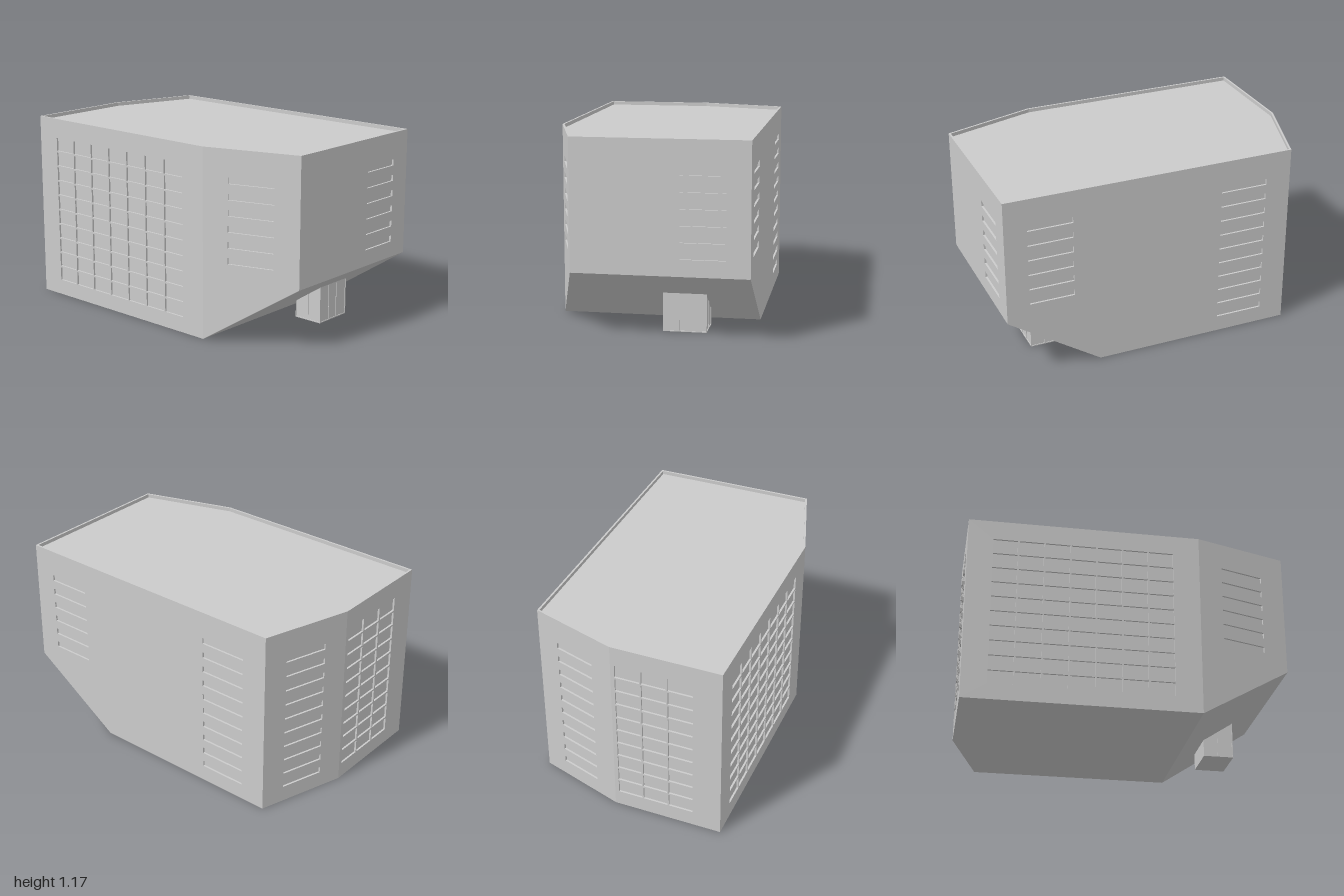
import * as THREE from 'three';

const HEIGHT = 1.17, ROOF = 1.147, THICK = 0.012;
const CUT_X = 0.42, CUT_Y = 0.385; // the underside rises from CUT_X to CUT_Y at x = 1
const material = new THREE.MeshStandardMaterial({ color: 0xcccccc, flatShading: true });
const baseY = (x) => Math.max(0, (x - CUT_X) / (1 - CUT_X) * CUT_Y);

// Footprint [x, z], anticlockwise seen from above
const A = [-1, 0.61], B = [CUT_X, 0.61], C = [1, 0.43], D = [1, -0.61], E = [-0.83, -0.61], F = [-1, -0.07];
const K = [CUT_X, -0.61]; // where the sloped underside starts on the back wall

function addMesh(parent, name, geometry) {
  const mesh = new THREE.Mesh(geometry, material);
  mesh.name = name;
  parent.add(mesh);
  return mesh;
}

// Flat convex polygon from 3D corners
function polygon(points) {
  const geometry = new THREE.BufferGeometry().setFromPoints(points.map((p) => new THREE.Vector3(...p)));
  const index = [];
  for (let i = 1; i < points.length - 1; i++) index.push(0, i, i + 1);
  geometry.setIndex(index);
  geometry.computeVertexNormals();
  return geometry;
}

// Upright wall from a to b: a panel with openings in front of a plain backing
function addWall(parent, name, a, b, outline, openings, depth) {
  const wall = new THREE.Group();
  wall.name = name;
  wall.position.set(a[0], 0, a[1]);
  wall.rotation.y = Math.atan2(a[1] - b[1], b[0] - a[0]);
  const corners = outline.map((p) => new THREE.Vector2(...p));
  const shape = new THREE.Shape(corners);
  for (const [u, v, w, h] of openings) {
    shape.holes.push(new THREE.Path([
      new THREE.Vector2(u, v), new THREE.Vector2(u, v + h),
      new THREE.Vector2(u + w, v + h), new THREE.Vector2(u + w, v),
    ]));
  }
  addMesh(wall, 'panel', new THREE.ExtrudeGeometry(shape, { depth, bevelEnabled: false })).position.z = -depth;
  if (openings.length) {
    addMesh(wall, 'recessBacking', new THREE.ShapeGeometry(new THREE.Shape(corners))).position.z = -depth;
  }
  parent.add(wall);
}

// Window layouts as [u, v, width, height]; rows are counted from the top
const PITCH = 0.096;
function slots(start, width, rows) {
  return Array.from({ length: rows }, (_, i) => [start, 0.965 - i * PITCH, width, 0.038]);
}
function windowGrid(start, columns, pitch) {
  const list = [];
  for (let c = 0; c < columns; c++) {
    for (let r = 0; r < 10; r++) list.push([start + c * pitch, 0.962 - r * PITCH, pitch - 0.01, PITCH - 0.011]);
  }
  return list;
}

export function createModel() {
  const model = new THREE.Group();
  model.name = 'building';

  // Outer walls; their tops form the parapet
  const walls = [
    ['frontWall', A, B, windowGrid(0.153, 7, 0.159)],
    ['angledFrontWall', B, C, slots(0.16, 0.288, 6)],
    ['leftWall', C, D, slots(0.635, 0.265, 6)],
    ['backWall', D, E, [...slots(0.14, 0.28, 6), ...slots(1.37, 0.30, 10)]],
    ['angledBackWall', E, F, slots(0.147, 0.272, 10)],
    ['rightWall', F, A, windowGrid(0.025, 3, 0.163)],
  ];
  for (const [name, a, b, openings] of walls) {
    const length = Math.hypot(b[0] - a[0], b[1] - a[1]);
    const outline = [[0, baseY(a[0])]];
    if (name === 'backWall') outline.push([1 - CUT_X, 0]);
    outline.push([length, baseY(b[0])], [length, HEIGHT], [0, HEIGHT]);
    addWall(model, name, a, b, outline, openings, THICK);
  }

  // Sunken roof, floor and sloped underside
  const inset = 1 - THICK / 2;
  addMesh(model, 'roof', polygon([A, B, C, D, E, F].map(([x, z]) => [x * inset, ROOF, z * inset])));
  const below = (points) => polygon(points.map(([x, z]) => [x, baseY(x), z]).reverse());
  addMesh(model, 'floor', below([A, B, K, E, F]));
  addMesh(model, 'slopedUnderside', below([B, C, D, K]));

  // Entrance lobby below the slope, with recessed door and side panels
  const lobby = new THREE.Group();
  lobby.name = 'entranceLobby';
  const x0 = 0.58, x1 = 0.77, z0 = -0.33, z1 = -0.07, top = 0.235;
  const P = [x0, z1], Q = [x1, z1], R = [x1, z0], S = [x0, z0];
  const side = [[0.006, 0.006, 0.084, 0.222], [0.1, 0.006, 0.084, 0.222]];
  const doors = [[0.005, 0.006, 0.083, 0.222], [0.097, 0.006, 0.066, 0.222], [0.172, 0.006, 0.083, 0.222]];
  const lobbyWalls = [
    ['lobbyFrontSide', P, Q, side], ['lobbyDoors', Q, R, doors],
    ['lobbyBackSide', R, S, side], ['lobbyRear', S, P, []],
  ];
  for (const [name, a, b, openings] of lobbyWalls) {
    const length = Math.hypot(b[0] - a[0], b[1] - a[1]);
    addWall(lobby, name, a, b, [[0, 0], [length, 0], [length, top], [0, top]], openings, 0.004);
  }
  addMesh(lobby, 'lobbyFloor', polygon([P, Q, R, S].map(([x, z]) => [x, 0, z]).reverse()));
  model.add(lobby);

  return model;
}
